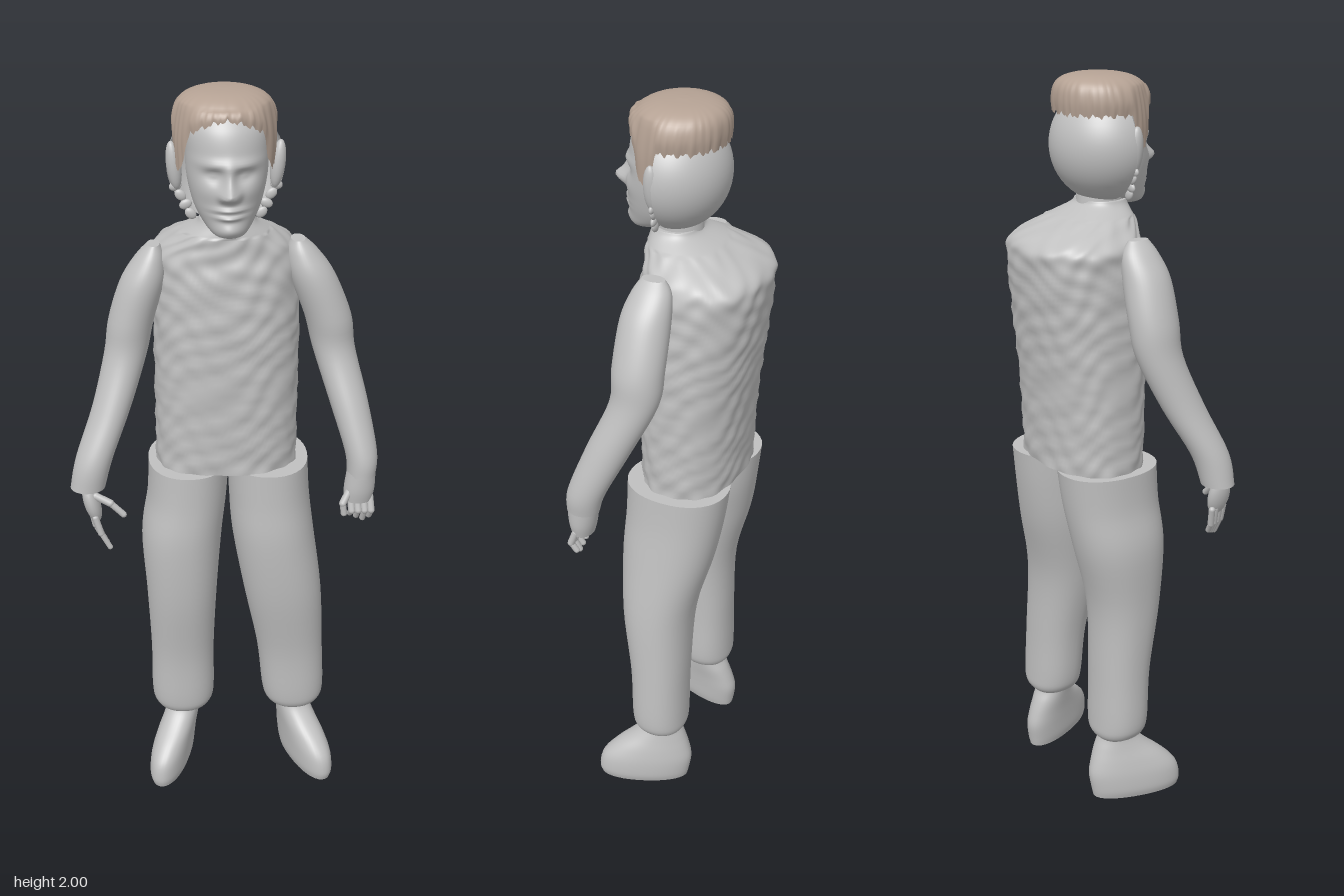
import * as THREE from 'three';

const grey = new THREE.MeshStandardMaterial({ color: 0xc0c0c0, side: THREE.DoubleSide });
grey.name = 'warm grey body';
const brown = new THREE.MeshStandardMaterial({ color: 0xb5a294, side: THREE.DoubleSide });
brown.name = 'light brown hair';

// Smooth interpolation of cross-section values
function spline(rings, i, t, k) {
  const v = j => rings[Math.min(Math.max(j, 0), rings.length - 1)][k] || 0;
  const [a, b, c, d] = [v(i - 1), v(i), v(i + 1), v(i + 2)];
  return b + 0.5 * t * (c - a + t * (2 * a - 5 * b + 4 * c - d + t * (3 * (b - c) + d - a)));
}

// Closed skin over rings listed bottom to top: [x, y, z, radiusX, radiusZ, yaw]
function loft(name, rings, { segs = 40, steps = 5, pow = 2, warp, capBottom = true, material = grey } = {}) {
  const pos = [], index = [], p = new THREE.Vector3();
  const rows = (rings.length - 1) * steps;
  const e = 2 / pow, se = v => Math.sign(v) * Math.abs(v) ** e;
  for (let r = 0; r <= rows; r++) {
    const i = Math.min(Math.floor(r / steps), rings.length - 2), t = r / steps - i;
    const [x, y, z, rx, rz, yaw] = [0, 1, 2, 3, 4, 5].map(k => spline(rings, i, t, k));
    for (let j = 0; j < segs; j++) {
      const a = j / segs * Math.PI * 2;
      const u = se(Math.cos(a)) * rx, w = se(Math.sin(a)) * rz;
      p.set(x + u * Math.cos(yaw) + w * Math.sin(yaw), y, z - u * Math.sin(yaw) + w * Math.cos(yaw));
      if (warp) warp(p, a, r / rows);
      pos.push(p.x, p.y, p.z);
    }
  }
  for (let r = 0; r < rows; r++) for (let j = 0; j < segs; j++) {
    const a = r * segs + j, b = r * segs + (j + 1) % segs;
    index.push(a, a + segs, b, b, a + segs, b + segs);
  }
  // Flat caps with their own vertices so the rims stay sharp
  for (const top of capBottom ? [0, 1] : [1]) {
    const start = pos.length / 3, from = top ? rows * segs : 0;
    for (let j = 0; j < segs * 3; j++) pos.push(pos[from * 3 + j]);
    const c = rings[top ? rings.length - 1 : 0];
    pos.push(c[0], c[1], c[2]);
    for (let j = 0; j < segs; j++) {
      const a = start + j, b = start + (j + 1) % segs;
      index.push(start + segs, top ? b : a, top ? a : b);
    }
  }
  const g = new THREE.BufferGeometry();
  g.setAttribute('position', new THREE.Float32BufferAttribute(pos, 3));
  g.setIndex(index);
  g.computeVertexNormals();
  const m = new THREE.Mesh(g, material);
  m.name = name;
  return m;
}

function blob(name, x, y, z, sx, sy, sz, tilt = 0) {
  const m = new THREE.Mesh(new THREE.SphereGeometry(1, 20, 14), grey);
  m.name = name;
  m.position.set(x, y, z);
  m.scale.set(sx, sy, sz);
  m.rotation.z = tilt;
  return m;
}

// Finger: rounded segments through a few joints
function finger(name, joints, radius) {
  const g = new THREE.Group();
  g.name = name;
  for (let i = 0; i + 1 < joints.length; i++) {
    const a = new THREE.Vector3(...joints[i]), b = new THREE.Vector3(...joints[i + 1]);
    const m = new THREE.Mesh(new THREE.CapsuleGeometry(radius * (1 - 0.15 * i), a.distanceTo(b), 5, 10), grey);
    m.name = 'fingerSegment';
    m.position.copy(a).add(b).multiplyScalar(0.5);
    m.quaternion.setFromUnitVectors(new THREE.Vector3(0, 1, 0), b.sub(a).normalize());
    g.add(m);
  }
  return g;
}

// Facial relief: [x offset, y, spread x, spread y, depth], mirrored when x is not 0
const features = [
  [0, 1.783, 0.014, 0.013, 0.034], [0, 1.812, 0.011, 0.022, 0.02], [0.016, 1.778, 0.008, 0.008, 0.012],
  [0.036, 1.822, 0.017, 0.01, -0.012], [0.036, 1.822, 0.009, 0.005, 0.006], [0.035, 1.848, 0.026, 0.009, 0.008],
  [0, 1.742, 0.024, 0.005, 0.012], [0, 1.734, 0.024, 0.003, -0.006], [0, 1.725, 0.02, 0.005, 0.013],
  [0, 1.692, 0.024, 0.012, 0.012], [0.05, 1.785, 0.02, 0.018, 0.007],
];
function faceRelief(p) {
  if (p.z < 0.07) return;
  const x = p.x - 0.01, y = p.y;
  for (const [fx, fy, sx, sy, d] of features)
    for (const s of fx ? [-1, 1] : [1])
      p.z += d * Math.exp(-(((x - s * fx) / sx) ** 2 + ((y - fy) / sy) ** 2) / 2);
}

// Quilted unevenness of the vest
function quilt(p, a, t) {
  if (t > 0.75) return;
  const k = 0.0035 * Math.sin(p.y * 88 + 1.5 * Math.sin(a * 5)) * Math.sin(a * 11 + 2 * Math.sin(p.y * 23));
  p.x += k * Math.cos(a);
  p.z += k * Math.sin(a);
}

// Ragged hairline, longer in front of the ears, and combed strands
function strands(p, a, t) {
  const low = Math.max(0, 1 - t * 2.2), front = Math.max(0, Math.sin(a));
  const side = Math.exp(-(((p.z - 0.075) / 0.03) ** 4)) * (Math.abs(p.x - 0.005) > 0.07 ? 1 : 0);
  p.y += low * (0.045 * front ** 4 - 0.085 * side + 0.008 * Math.sin(a * 37) * Math.sin(a * 13));
  const k = 1 + 0.012 * Math.sin(a * 29 + Math.sin(a * 7) * 2) * (1 - t);
  p.x = 0.005 + (p.x - 0.005) * k;
  p.z = 0.03 + (p.z - 0.03) * k;
}

export function createModel() {
  const model = new THREE.Group();
  model.name = 'standingFigure';

  // Head
  const head = new THREE.Group();
  head.name = 'head';
  head.add(loft('face', [
    [0.012, 1.668, 0.12, 0.02, 0.02], [0.012, 1.676, 0.112, 0.04, 0.042], [0.011, 1.7, 0.08, 0.063, 0.077],
    [0.01, 1.74, 0.06, 0.083, 0.1], [0.01, 1.8, 0.05, 0.097, 0.106], [0.01, 1.86, 0.045, 0.1, 0.109],
    [0.008, 1.92, 0.04, 0.097, 0.1], [0.006, 1.97, 0.03, 0.07, 0.07]], { segs: 128, steps: 10, warp: faceRelief }));
  const skull = new THREE.Mesh(new THREE.SphereGeometry(1, 40, 28, Math.PI, Math.PI), grey);
  skull.name = 'backOfHead';
  skull.scale.set(0.143, 0.142, 0.132);
  skull.position.set(0.008, 1.822, 0.038);
  head.add(skull);
  for (const s of [-1, 1]) {
    head.add(blob('ear', 0.008 + s * 0.125, 1.82, 0.045, 0.018, 0.06, 0.02, s * -0.12));
    for (let i = 0; i < 4; i++)
      head.add(blob('raggedEdge', 0.008 + s * (0.122 - i * 0.012), 1.77 - i * 0.022, 0.045 + 0.004 * i, 0.016, 0.012, 0.007, s * (i % 2 ? 0.8 : -0.4)));
  }
  head.add(loft('hair', [
    [0.005, 1.905, 0.03, 0.122, 0.119], [0.005, 1.935, 0.028, 0.125, 0.12], [0.005, 1.965, 0.025, 0.116, 0.113],
    [0.005, 1.985, 0.022, 0.095, 0.094], [0.005, 1.996, 0.02, 0.06, 0.06], [0.005, 2, 0.02, 0.012, 0.012]],
    { segs: 140, steps: 4, warp: strands, capBottom: false, material: brown }));
  model.add(head);
  model.add(loft('neck', [[0.012, 1.62, 0.03, 0.062, 0.065], [0.012, 1.68, 0.03, 0.06, 0.06], [0.012, 1.74, 0.035, 0.06, 0.058]]));

  // Torso
  model.add(loft('vest', [
    [0.014, 1, -0.022, 0.187, 0.128], [0.014, 1.2, -0.025, 0.187, 0.137], [0.014, 1.4, -0.035, 0.187, 0.15],
    [0.012, 1.54, -0.045, 0.184, 0.155], [0.01, 1.595, -0.045, 0.176, 0.147], [0.01, 1.64, -0.005, 0.125, 0.107],
    [0.012, 1.672, 0.028, 0.08, 0.068], [0.012, 1.688, 0.033, 0.068, 0.058]], { segs: 96, steps: 12, pow: 2.35, warp: quilt }));

  // Arms
  model.add(loft('rightArm', [
    [-0.355, 1, 0.138, 0.045, 0.042], [-0.335, 1.08, 0.125, 0.048, 0.05], [-0.287, 1.2, 0.075, 0.05, 0.058],
    [-0.247, 1.33, 0.028, 0.055, 0.062], [-0.23, 1.42, 0.02, 0.058, 0.066], [-0.2, 1.52, 0.02, 0.056, 0.063],
    [-0.18, 1.58, 0.015, 0.038, 0.05], [-0.17, 1.615, 0.015, 0.016, 0.028]]));
  model.add(loft('leftArm', [
    [0.357, 1.02, 0.142, 0.037, 0.043], [0.355, 1.08, 0.13, 0.042, 0.05], [0.325, 1.2, 0.08, 0.05, 0.058],
    [0.288, 1.33, 0.025, 0.055, 0.062], [0.27, 1.42, 0.02, 0.06, 0.066], [0.227, 1.53, 0.02, 0.058, 0.063],
    [0.202, 1.59, 0.015, 0.04, 0.05], [0.19, 1.622, 0.015, 0.018, 0.03]]));

  // Hands
  const rightHand = new THREE.Group();
  rightHand.name = 'rightHand';
  rightHand.add(blob('palm', -0.346, 0.96, 0.152, 0.021, 0.058, 0.032, 0.25));
  for (let i = 0; i < 4; i++)
    rightHand.add(finger('finger', [[-0.338 - i * 0.004, 0.925, 0.175 - i * 0.016], [-0.325 - i * 0.005, 0.88, 0.178 - i * 0.015], [-0.303 - i * 0.007, 0.838 + i * 0.006, 0.178 - i * 0.013]], 0.0085));
  rightHand.add(finger('thumb', [[-0.335, 0.985, 0.165], [-0.298, 0.968, 0.174], [-0.265, 0.935, 0.177]], 0.01));
  model.add(rightHand);
  const leftHand = new THREE.Group();
  leftHand.name = 'leftHand';
  leftHand.add(loft('cuff', [[0.35, 0.945, 0.148, 0.036, 0.028], [0.353, 0.98, 0.146, 0.04, 0.036], [0.357, 1.03, 0.142, 0.037, 0.042]]));
  for (let i = 0; i < 4; i++)
    leftHand.add(finger('finger', [[0.33 + i * 0.017, 0.955, 0.155], [0.333 + i * 0.017, 0.92, 0.168], [0.33 + i * 0.017, 0.89 + Math.abs(i - 2) * 0.008, 0.155]], 0.0095));
  leftHand.add(finger('thumb', [[0.325, 0.975, 0.16], [0.308, 0.945, 0.172], [0.312, 0.915, 0.172]], 0.01));
  model.add(leftHand);

  // Trousers
  model.add(loft('rightTrouserLeg', [
    [-0.112, 0.185, 0, 0.055, 0.055], [-0.112, 0.205, 0.003, 0.078, 0.072], [-0.112, 0.25, 0.006, 0.089, 0.077],
    [-0.112, 0.4, 0.01, 0.089, 0.08], [-0.112, 0.6, 0.022, 0.097, 0.098], [-0.11, 0.78, 0.006, 0.109, 0.125],
    [-0.094, 0.9, -0.008, 0.107, 0.133], [-0.088, 1, -0.016, 0.108, 0.138]], { pow: 2.2 }));
  model.add(loft('leftTrouserLeg', [
    [0.21, 0.185, 0, 0.055, 0.055], [0.21, 0.205, 0.003, 0.078, 0.072], [0.208, 0.25, 0.006, 0.089, 0.077],
    [0.196, 0.4, 0.01, 0.094, 0.08], [0.17, 0.6, 0.022, 0.108, 0.098], [0.142, 0.78, 0.006, 0.112, 0.125],
    [0.13, 0.9, -0.008, 0.109, 0.133], [0.125, 1, -0.016, 0.108, 0.138]], { pow: 2.2 }));

  // Feet, toes turned outwards
  for (const [name, s, x, yaw] of [['rightFoot', -1, 0.112, 0.32], ['leftFoot', 1, 0.21, 0.38]])
    model.add(loft(name, [
      [s * (x + 0.037), 0, 0.045, 0.046, 0.127, s * yaw], [s * (x + 0.037), 0.025, 0.045, 0.052, 0.132, s * yaw],
      [s * (x + 0.032), 0.07, 0.038, 0.053, 0.13, s * yaw], [s * (x + 0.022), 0.11, 0.026, 0.051, 0.108, s * yaw],
      [s * (x + 0.008), 0.15, 0.01, 0.048, 0.075, s * yaw], [s * x, 0.185, 0.003, 0.046, 0.05, s * yaw],
      [s * x, 0.22, 0, 0.046, 0.046, s * yaw]], { pow: 2.2 }));

  return model;
}
